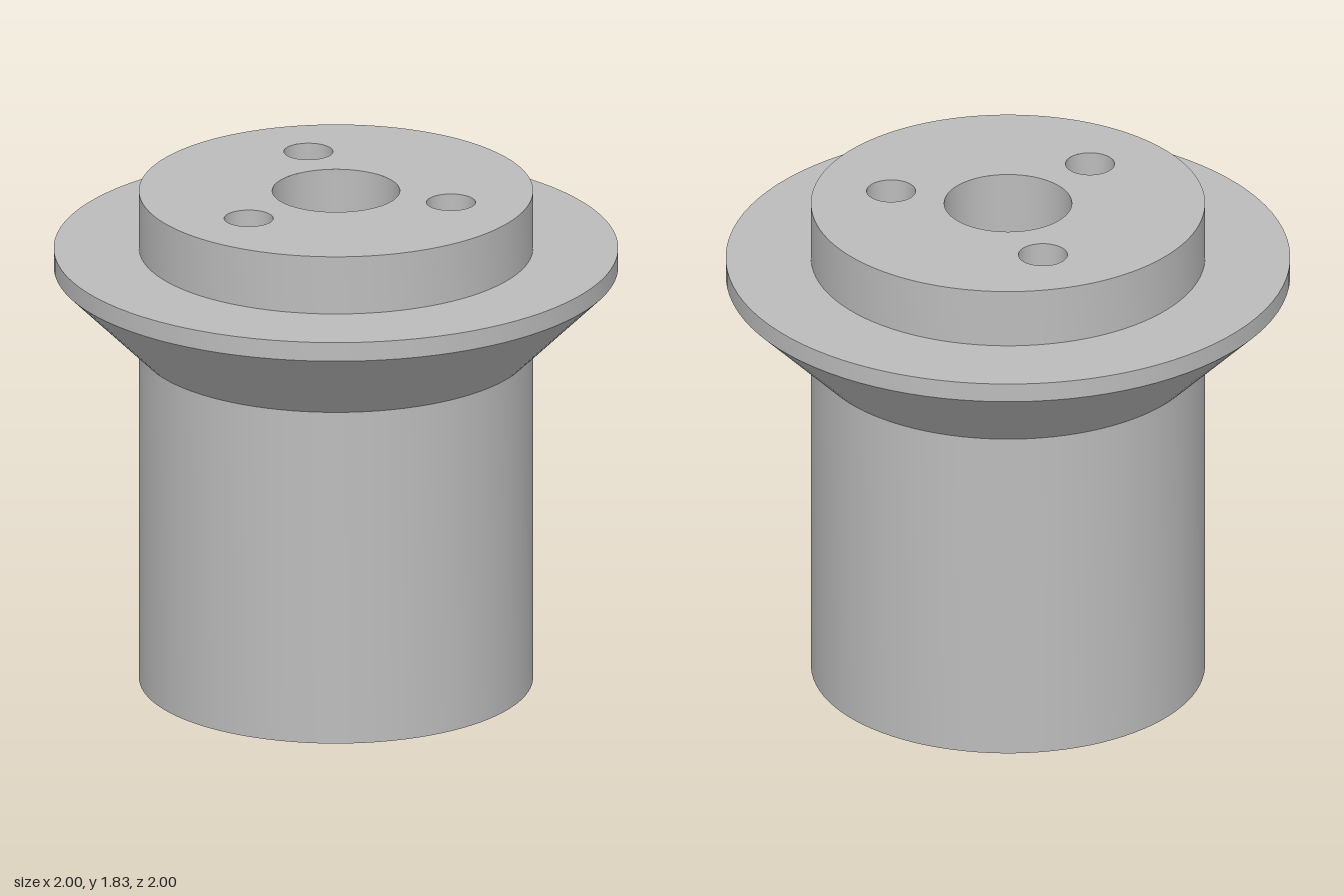
import * as THREE from 'three';
import { toCreasedNormals } from 'three/addons/utils/BufferGeometryUtils.js';

const HEIGHT = 1.83, BODY_R = 0.698, BORE_R = 0.226;
const BOLT_R = 0.087, BOLT_CIRCLE = 0.425;
const SEGMENTS = 96;

// Surface of revolution; rising profiles face outward, falling ones inward
function turned(profile) {
  const points = profile.map(([r, y]) => new THREE.Vector2(r, y));
  return toCreasedNormals(new THREE.LatheGeometry(points, SEGMENTS), 0.5);
}

export function createModel() {
  const group = new THREE.Group();
  group.name = 'flangedBushing';
  const metal = new THREE.MeshStandardMaterial({ color: 0xbcbcbc });
  metal.name = 'grey metal';

  const add = (name, geometry) => {
    const mesh = new THREE.Mesh(geometry, metal);
    mesh.name = name;
    group.add(mesh);
    return mesh;
  };

  // Outer skin: barrel, conical flange with a thin rim, and top boss
  add('barrelAndFlange', turned([
    [BODY_R, 0], [BODY_R, 1.245], [1, 1.545], [1, 1.615], [BODY_R, 1.615], [BODY_R, HEIGHT],
  ]));

  // Through holes: one central bore and three around it
  const holes = [{ name: 'centralBore', x: 0, z: 0, r: BORE_R }];
  for (let i = 0; i < 3; i++) {
    const a = (i * Math.PI * 2) / 3;
    holes.push({ name: 'boltHole', x: BOLT_CIRCLE * Math.cos(a), z: BOLT_CIRCLE * Math.sin(a), r: BOLT_R });
  }

  const face = new THREE.Shape().absarc(0, 0, BODY_R, 0, Math.PI * 2, false);
  for (const { name, x, z, r } of holes) {
    add(name, turned([[r, HEIGHT], [r, 0]])).position.set(x, 0, z);
    face.holes.push(new THREE.Path().absarc(x, z, r, 0, Math.PI * 2, true));
  }

  // Flat end faces pierced by the holes
  add('topFace', new THREE.ShapeGeometry(face, SEGMENTS).rotateX(-Math.PI / 2)).position.y = HEIGHT;
  add('bottomFace', new THREE.ShapeGeometry(face, SEGMENTS).rotateX(Math.PI / 2));

  return group;
}
